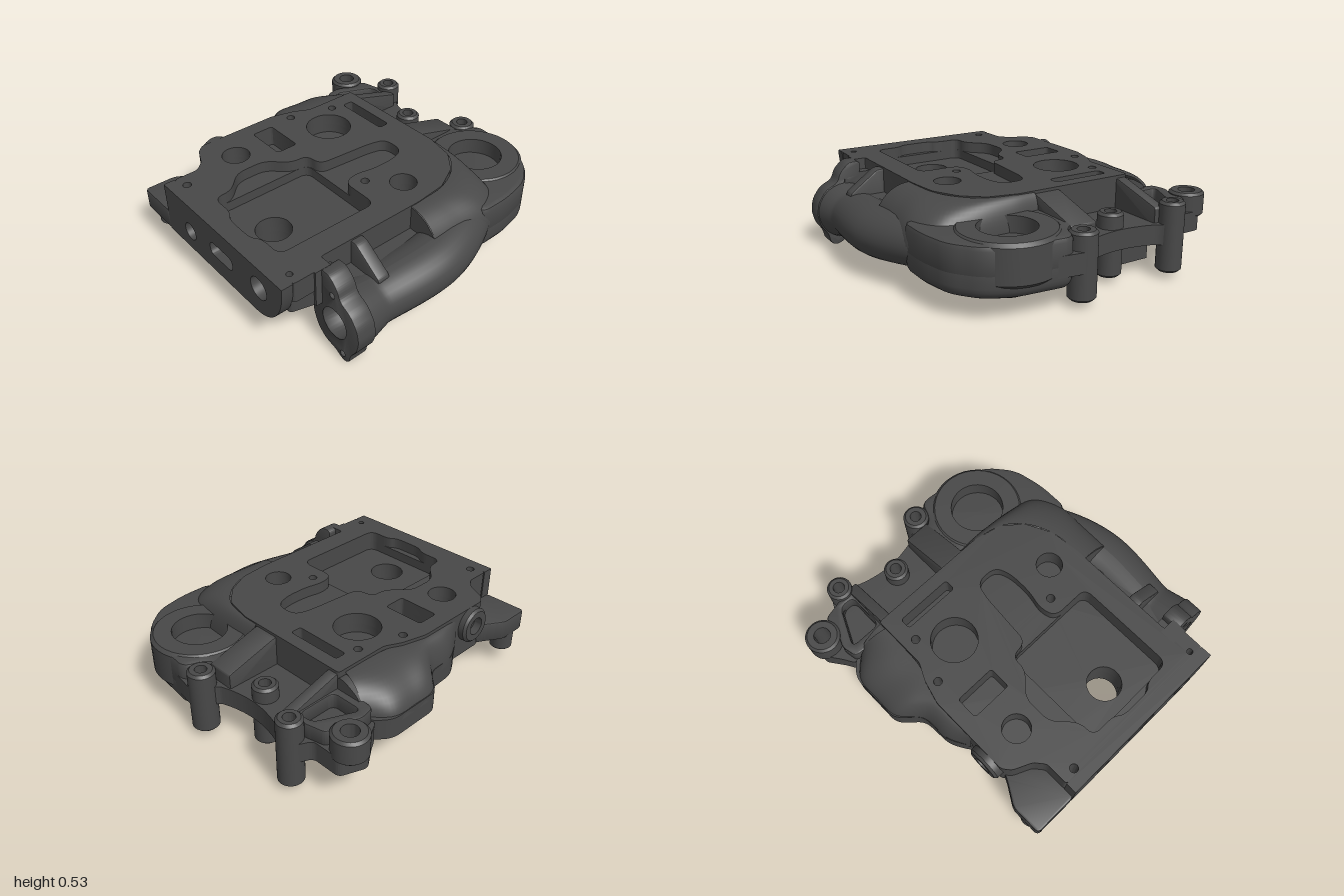
import * as THREE from 'three';
import { toCreasedNormals } from 'three/addons/utils/BufferGeometryUtils.js';

const material = new THREE.MeshStandardMaterial({ color: 0x484848, side: THREE.DoubleSide });

// Closed outline with softened corners
function outline(points, r, Type = THREE.Shape) {
  const s = new Type();
  const pts = points.map(([x, y]) => new THREE.Vector2(x, y));
  pts.forEach((p, i) => {
    const a = pts[(i + pts.length - 1) % pts.length], b = pts[(i + 1) % pts.length];
    const toward = (q) => p.clone().lerp(q, Math.min(0.5, r / p.distanceTo(q)));
    const p0 = toward(a), p1 = toward(b);
    i ? s.lineTo(p0.x, p0.y) : s.moveTo(p0.x, p0.y);
    s.quadraticCurveTo(p.x, p.y, p1.x, p1.y);
  });
  s.closePath();
  return s;
}
const circle = (x, y, r) => new THREE.Path().absarc(x, y, r, 0, Math.PI * 2, true);
const rect = (x0, x1, y0, y1, r) => outline([[x0, y0], [x1, y0], [x1, y1], [x0, y1]], r, THREE.Path);
const flip = (pts) => pts.map(([x, z]) => [x, -z]);

function mesh(group, name, geometry) {
  const m = new THREE.Mesh(geometry, material);
  m.name = name;
  group.add(m);
  return m;
}
function extrude(shape, depth, bevel) {
  const g = new THREE.ExtrudeGeometry(shape, {
    depth: depth - 2 * bevel, bevelEnabled: bevel > 0, bevelSize: bevel, bevelThickness: bevel,
    bevelOffset: -bevel, bevelSegments: bevel > 0.03 ? 5 : 2, curveSegments: 16,
  });
  g.translate(0, 0, bevel);
  return toCreasedNormals(g, 0.6);
}
// Horizontal slab from an x,z outline
function slab(group, name, pts, y0, y1, { holes = [], bevel = 0, round = 0.04 } = {}) {
  const shape = outline(flip(pts), round);
  shape.holes = holes;
  const g = extrude(shape, y1 - y0, bevel);
  g.rotateX(-Math.PI / 2).translate(0, y0, 0);
  return mesh(group, name, g);
}
// Rounded skin falling from an inner x,z curve to an outer one
function skin(group, name, inner, outer, yTop, yLow) {
  const curve = (pts) => new THREE.CatmullRomCurve3(pts.map(([x, z]) => new THREE.Vector3(x, 0, z)));
  const a = curve(inner), b = curve(outer), g = new THREE.PlaneGeometry(1, 1, 40, 12);
  const p = g.attributes.position, uv = g.attributes.uv;
  for (let i = 0; i < p.count; i++) {
    const t = uv.getX(i), angle = (1 - uv.getY(i)) * Math.PI / 2;
    const v = a.getPoint(t).lerp(b.getPoint(t), Math.sin(angle));
    p.setXYZ(i, v.x, yLow + (yTop - yLow) * Math.cos(angle), v.z);
  }
  g.computeVertexNormals();
  return mesh(group, name, g);
}
// Upright boss with chamfered ends and an optional bore
function boss(group, name, x, z, r, y0, y1, bore = 0, c = 0.015) {
  const profile = [[bore, y0], [r - c, y0], [r, y0 + c], [r, y1 - c], [r - c, y1], [bore, y1], [bore, y0]];
  const g = new THREE.LatheGeometry(profile.map((p) => new THREE.Vector2(...p)), 40);
  const m = mesh(group, name, toCreasedNormals(g, 0.6));
  m.position.set(x, 0, z);
  return m;
}
function box(group, name, x0, x1, y0, y1, z0, z1) {
  const m = mesh(group, name, new THREE.BoxGeometry(x1 - x0, y1 - y0, z1 - z0));
  m.position.set((x0 + x1) / 2, (y0 + y1) / 2, (z0 + z1) / 2);
  return m;
}

export function createModel() {
  const g = new THREE.Group();
  g.name = 'pumpHousing';

  // Machined plate in layers: shallow pockets, deep pockets, base
  const pinSpots = [[-0.49, -0.27, 0.025], [-0.57, 0.01, 0.025], [0.26, 0.1, 0.025], [-0.37, 0.9, 0.025], [0.6, 0.9, 0.018]];
  const pins = pinSpots.map(([x, z, r]) => circle(x, -z, r));
  const mainBore = circle(0.14, -0.67, 0.105);
  const recesses = [circle(-0.33, 0.11, 0.14), circle(0.41, 0.06, 0.08), circle(-0.44, -0.52, 0.085),
    rect(-0.47, -0.11, 0.35, 0.42, 0.02), rect(-0.56, -0.3, -0.31, -0.17, 0.02)];
  const plate = [[-0.57, -0.5], [-0.57, -0.15], [-0.62, -0.05], [-0.66, 0.1], [-0.66, 0.62], [-0.62, 0.67],
    [-0.51, 0.72], [-0.46, 0.78], [-0.46, 0.93], [0.67, 0.93], [0.67, 0.78], [0.6, 0.7], [0.6, 0],
    [0.58, -0.2], [0.5, -0.36], [0.38, -0.46], [0.2, -0.5]];
  const keyholePocket = outline(flip([[-0.01, -0.18], [0.02, -0.28], [0.16, -0.28], [0.2, -0.18], [0.2, -0.02],
    [0.17, 0.1], [0.2, 0.2], [0.45, 0.2], [0.45, 0.85], [0.29, 0.85], [0.25, 0.89], [0.05, 0.89], [0, 0.85],
    [-0.16, 0.85], [-0.16, 0.74], [-0.28, 0.62], [-0.28, 0.43], [-0.16, 0.31], [-0.16, 0.2], [-0.04, 0.19]]),
  0.06, THREE.Path);
  slab(g, 'plateTop', plate, 0.46, 0.53, { holes: [keyholePocket, ...pins, ...recesses], round: 0.02 });
  slab(g, 'plateMiddle', plate, 0.4, 0.46,
    { holes: [rect(-0.16, 0.45, -0.85, -0.2, 0.06), ...pins, ...recesses], round: 0.02 });
  const base = plate.map(([x, z]) => [z > 0.8 && x > 0.6 ? 0.63 : x, z]);
  slab(g, 'plateBase', base, 0.3, 0.4, { holes: [mainBore, ...pins], round: 0.02 });
  const floor = plate.map(([x, z]) => [z > 0.6 && x > 0.5 ? 0.47 : x, z]);
  slab(g, 'plateFloor', floor, 0.22, 0.3, { holes: [mainBore, ...pins.slice(0, 4)], round: 0.02 });

  // Front wall with ports
  const wall = new THREE.Shape();
  wall.moveTo(-0.46, 0.21).lineTo(0.42, 0.21);
  wall.bezierCurveTo(0.56, 0.21, 0.67, 0.33, 0.67, 0.53);
  wall.lineTo(-0.46, 0.53).closePath();
  wall.holes = [circle(-0.21, 0.34, 0.055), rect(0, 0.22, 0.325, 0.415, 0.045), circle(0.46, 0.39, 0.07)];
  mesh(g, 'frontWall', extrude(wall, 0.07, 0).translate(0, 0, 0.93));

  // Mounting foot at the front corner
  slab(g, 'frontFoot', [[-0.74, 0.8], [-0.74, 1], [-0.45, 1], [-0.45, 0.7], [-0.62, 0.58], [-0.66, 0.67]],
    0.21, 0.34, { bevel: 0.01, round: 0.03 });
  boss(g, 'footBoss', -0.67, 0.89, 0.07, 0.1, 0.27, 0.025, 0.005);
  const rib = outline([[-0.68, 0.12], [-0.62, 0.12], [-0.38, 0.23], [-0.68, 0.23]], 0.02);
  mesh(g, 'footRib', extrude(rib, 0.08, 0.02).translate(0, 0, 0.85));

  // Left shoulder and side port
  const shoulder = [[-0.54, -0.49], [-0.8, -0.5], [-0.88, -0.4], [-0.88, -0.06], [-0.75, 0.06], [-0.74, 0.26],
    [-0.67, 0.38], [-0.62, 0.4], [-0.62, -0.06], [-0.54, -0.14]];
  slab(g, 'leftSkirt', shoulder, 0.21, 0.34, { round: 0.05 });
  skin(g, 'leftShoulder',
    [[-0.56, -0.45], [-0.57, -0.3], [-0.58, -0.14], [-0.62, -0.03], [-0.65, 0.1], [-0.65, 0.25], [-0.65, 0.38]],
    [[-0.76, -0.5], [-0.87, -0.38], [-0.88, -0.22], [-0.87, -0.07], [-0.755, 0.07], [-0.74, 0.24], [-0.67, 0.38]],
    0.51, 0.3);
  const backWall = outline([[-0.56, 0.25], [-0.56, 0.5], [-0.62, 0.49], [-0.71, 0.44], [-0.76, 0.32], [-0.76, 0.25]], 0.03);
  mesh(g, 'shoulderBack', extrude(backWall, 0.05, 0).translate(0, 0, -0.5));
  const port = boss(g, 'sidePort', 0, 0, 0.11, 0, 0.12, 0.055);
  port.rotation.z = Math.PI / 2;
  port.position.set(-0.59, 0.42, 0.52);

  // Rear flange, ribs and fixing bosses
  const arc = [-0.5, -0.42, -0.33, -0.25, -0.17, -0.08, 0].map((x) => [x, -0.82 - 0.8 * (x + 0.25) ** 2]);
  const rear = [[-0.55, -0.45], [-0.82, -0.48], [-0.86, -0.55], [-0.94, -0.66], [-0.88, -0.81], [-0.7, -0.81],
    [-0.64, -0.93], [-0.55, -0.93], ...arc, [0.03, -0.97], [0.1, -0.995], [0.4, -0.95], [0.4, -0.45]];
  const lugPocket = outline(flip([[-0.77, -0.54], [-0.57, -0.54], [-0.57, -0.78], [-0.66, -0.78]]), 0.04, THREE.Path);
  const midBore = circle(-0.25, 0.74, 0.035);
  const bores = [circle(-0.86, 0.71, 0.05), circle(-0.59, 0.87, 0.035), midBore, circle(0.08, 0.92, 0.035)];
  slab(g, 'rearFlange', rear, 0.21, 0.33, { holes: bores, round: 0.03 });
  box(g, 'rearWeb', -0.58, 0.1, 0.055, 0.25, -0.7, -0.66);
  slab(g, 'lugFrame', [[-0.5, -0.45], [-0.8, -0.48], [-0.82, -0.58], [-0.79, -0.64], [-0.77, -0.79], [-0.68, -0.81],
    [-0.64, -0.82], [-0.5, -0.82]], 0.32, 0.42, { holes: [lugPocket], bevel: 0.01, round: 0.03 });
  for (const [x0, x1] of [[-0.56, -0.49], [-0.07, 0.1]]) {
    const ribShape = outline([[0.45, 0.3], [0.45, 0.52], [0.52, 0.51], [0.84, 0.42], [0.84, 0.3]], 0.01);
    mesh(g, 'rearRib', extrude(ribShape, x1 - x0, 0.01).rotateY(Math.PI / 2).translate(x0, 0, 0));
  }
  boss(g, 'sideLug', -0.86, -0.71, 0.105, 0.29, 0.44, 0.05);
  boss(g, 'rearPost', -0.59, -0.87, 0.075, 0.04, 0.46, 0.035);
  boss(g, 'rearPost', -0.25, -0.74, 0.075, 0.04, 0.42, 0.035);
  boss(g, 'rearPost', 0.08, -0.92, 0.08, 0.04, 0.43, 0.035);

  // Rounded rear chamber with open seat
  const chamber = [[0, -0.45], [0, -0.8], [0.13, -0.84], [0.17, -0.98], [0.5, -0.945], [0.66, -0.87],
    [0.78, -0.72], [0.82, -0.52], [0.82, -0.3], [0.5, -0.3]];
  slab(g, 'chamberLower', chamber, 0.13, 0.34, { bevel: 0.07, round: 0.07 });
  slab(g, 'chamberUpper', chamber, 0.24, 0.43, { holes: [circle(0.4, 0.69, 0.2)], bevel: 0.03, round: 0.07 });
  boss(g, 'chamberRim', 0.4, -0.69, 0.29, 0.2, 0.44, 0.165, 0.02);
  boss(g, 'chamberFloor', 0.41, -0.69, 0.18, 0.09, 0.33, 0, 0.05);

  // Sloping right shoulder with its end wall, and the floor between plate and duct
  skin(g, 'rightShoulder',
    [[0.1, -0.49], [0.25, -0.49], [0.4, -0.45], [0.51, -0.35], [0.58, -0.2], [0.595, -0.05], [0.595, 0.06]],
    [[0.1, -0.55], [0.28, -0.56], [0.55, -0.55], [0.73, -0.52], [0.82, -0.38], [0.825, -0.15], [0.82, 0.06]],
    0.525, 0.3);
  const endWall = outline([[0.58, 0.25], [0.58, 0.525], [0.65, 0.51], [0.72, 0.48], [0.79, 0.41], [0.82, 0.3], [0.82, 0.25]], 0.03);
  mesh(g, 'shoulderEnd', extrude(endWall, 0.05, 0).translate(0, 0, 0.01));
  box(g, 'sideFloor', 0.57, 0.8, 0.22, 0.37, -0.1, 0.66);

  // Swelling delivery duct from the chamber to the outlet
  const path = new THREE.CatmullRomCurve3([[0.775, 0.225, 0.66], [0.765, 0.23, 0.48], [0.78, 0.26, 0.05],
    [0.71, 0.28, -0.22], [0.62, 0.28, -0.4], [0.52, 0.27, -0.5]].map((p) => new THREE.Vector3(...p)));
  const duct = new THREE.TubeGeometry(path, 60, 0.145, 32);
  const pos = duct.attributes.position, v = new THREE.Vector3();
  for (let i = 0; i < pos.count; i++) {
    const u = duct.attributes.uv.getX(i), c = path.getPointAt(u);
    const swell = Math.sin(Math.PI * Math.min(1, u * 1.1)), neck = 0.25 * Math.max(0, 1 - u * 8);
    v.fromBufferAttribute(pos, i).sub(c);
    const wide = 1 + 0.24 * swell + neck, tall = 1 + 0.06 * swell + neck;
    pos.setXYZ(i, c.x + v.x * wide, c.y + v.y * tall, c.z + v.z * wide);
  }
  duct.computeVertexNormals();
  mesh(g, 'deliveryDuct', duct);

  // Outlet flange with a bore and two blind screw holes
  const flange = outline([[0.66, 0.53], [0.74, 0.53], [0.8, 0.47], [0.82, 0.41], [0.9, 0.37], [0.95, 0.3],
    [0.965, 0.22], [0.945, 0.14], [0.9, 0.08], [0.89, 0.02], [0.85, 0], [0.81, 0.015], [0.78, 0.035],
    [0.7, 0.05], [0.64, 0.1], [0.6, 0.19], [0.61, 0.3], [0.67, 0.42]], 0.03);
  const flangeHoles = [[0.775, 0.225, 0.1, 0.58], [0.76, 0.41, 0.025, 0.645], [0.84, 0.05, 0.025, 0.645]];
  flange.holes = flangeHoles.map(([x, y, r]) => circle(x, y, r));
  mesh(g, 'outletFlange', extrude(flange, 0.12, 0.006).translate(0, 0, 0.64));
  for (const [x, y, r, z] of flangeHoles)
    mesh(g, 'holeFloor', new THREE.CircleGeometry(r * 1.2, 32).translate(x, y, z));
  const sideRib = outline([[0.58, 0.25], [0.58, 0.52], [0.64, 0.52], [0.82, 0.39], [0.82, 0.25]], 0.02);
  mesh(g, 'sideRib', extrude(sideRib, 0.08, 0.01).translate(0, 0, 0.42));
  box(g, 'sideLedge', 0.57, 0.77, 0.25, 0.46, 0.64, 0.7);
  box(g, 'sideWall', 0.57, 0.68, 0.3, 0.53, 0.7, 0.8);

  // Rings and bosses beneath
  boss(g, 'undersideRing', 0.02, -0.24, 0.36, 0.15, 0.25, 0.25, 0.04);
  boss(g, 'boreBoss', 0.14, 0.67, 0.2, 0.16, 0.24, 0.105, 0.03);
  boss(g, 'undersideBoss', -0.44, 0.52, 0.11, 0.17, 0.24, 0, 0.03);
  for (const [x, z, r] of pinSpots.slice(0, 4)) boss(g, 'pinBoss', x, z, 0.055, 0.19, 0.24, r);
  return g;
}
